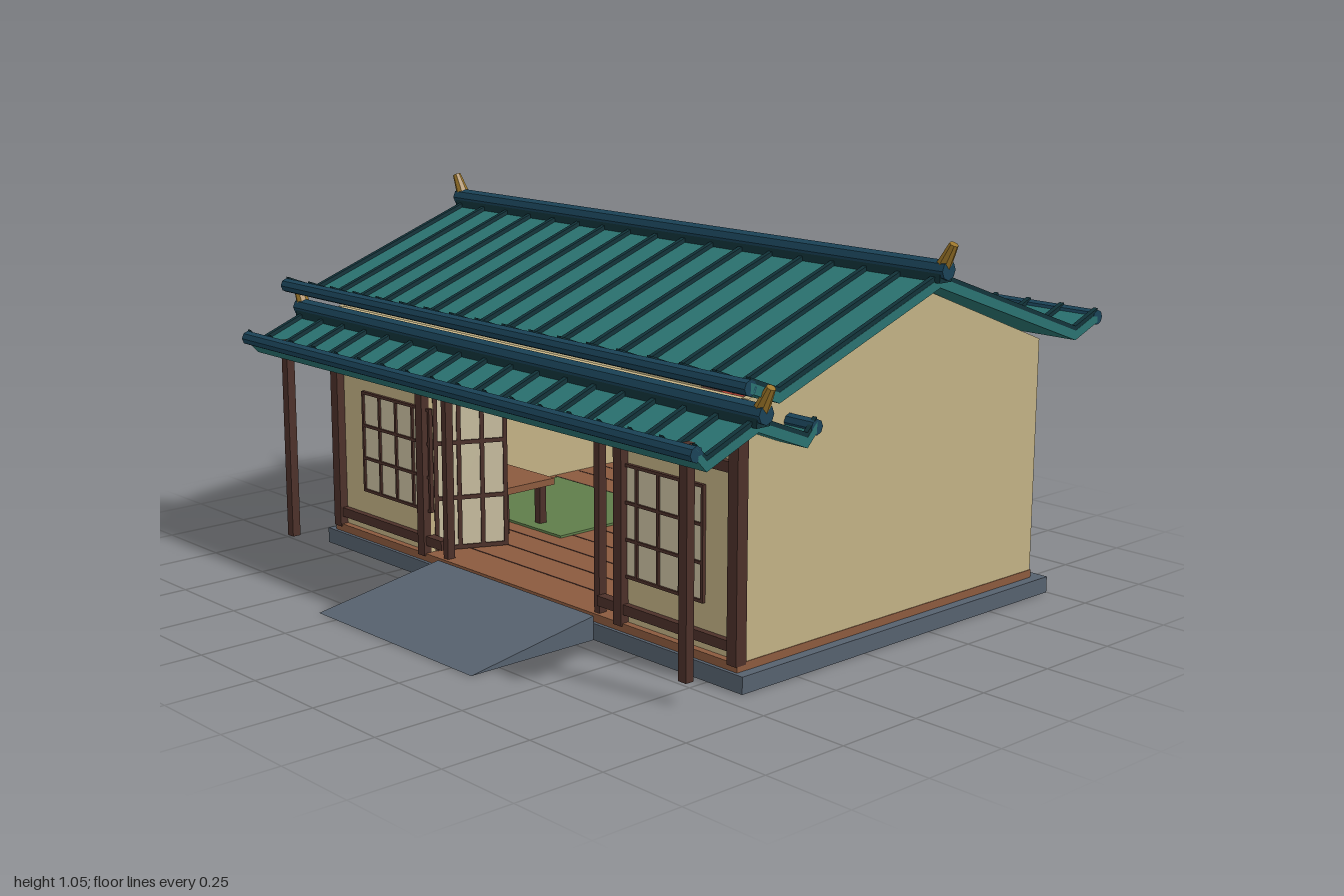
import * as THREE from 'three';

const mat = (color) => new THREE.MeshStandardMaterial({ color, flatShading: true });
const M = {
  wall: mat(0xc2b184), roof: mat(0x2a7270), rib: mat(0x12333a), ridge: mat(0x1a4358),
  wood: mat(0x4c3029), floor: mat(0x8b5a3e), stone: mat(0x56616e), gold: mat(0x9a7428),
  red: mat(0xa83c30), paper: mat(0xcbc1a2), rug: mat(0x5f7d4a),
};

export function createModel() {
  const root = new THREE.Group();

  const add = (name, geo, material, parent = root) => {
    const m = new THREE.Mesh(geo, material);
    m.name = name;
    parent.add(m);
    return m;
  };
  // Box given by its min and max on each axis
  const box = (name, [x0, x1], [y0, y1], [z0, z1], material, parent = root) => {
    const m = add(name, new THREE.BoxGeometry(x1 - x0, y1 - y0, z1 - z0), material, parent);
    m.position.set((x0 + x1) / 2, (y0 + y1) / 2, (z0 + z1) / 2);
    return m;
  };
  // Outline of [z, y] points swept along x, centred on cx
  const sweepX = (name, pts, width, cx, material, parent = root) => {
    const shape = new THREE.Shape(pts.map(([z, y]) => new THREE.Vector2(z, y)));
    const g = new THREE.ExtrudeGeometry(shape, { depth: width, bevelEnabled: false });
    g.rotateY(-Math.PI / 2).translate(cx + width / 2, 0, 0);
    return add(name, g, material, parent);
  };
  const rodX = (name, r, length, y, z, material, parent = root) => {
    const m = add(name, new THREE.CylinderGeometry(r, r, length, 8).rotateZ(Math.PI / 2), material, parent);
    m.position.set(0, y, z);
    return m;
  };

  // Base, ramp and floor
  box('baseSlab', [-0.87, 0.87], [0, 0.045], [-0.75, 0.44], M.stone);
  sweepX('ramp', [[0.84, 0], [0.44, 0.065], [0.44, 0]], 0.66, 0, M.stone);
  box('floor', [-0.842, 0.842], [0.045, 0.067], [-0.712, 0.43], M.floor);
  for (let z = -0.6; z < 0.4; z += 0.1)
    box('floorSeam', [-0.81, 0.81], [0.066, 0.068], [z, z + 0.005], M.wood);

  // Gable side walls and back wall
  const gable = [[0.4, 0.067], [0.4, 0.715], [-0.155, 0.932], [-0.71, 0.715], [-0.71, 0.067]];
  for (const s of [-1, 1]) sweepX('sideWall', gable, 0.02, s * 0.83, M.wall);
  box('backWall', [-0.82, 0.82], [0.067, 0.715], [-0.71, -0.69], M.wall);
  box('frontWallTop', [-0.82, 0.82], [0.61, 0.715], [0.39, 0.41], M.wall);

  // Each half of the front: wall, frame, window and open door
  for (const s of [-1, 1]) {
    const side = new THREE.Group();
    side.name = s > 0 ? 'leftFront' : 'rightFront';
    root.add(side);
    const part = (name, [a, b], y, z, m) =>
      box(name, s > 0 ? [a, b] : [-b, -a], y, z, m, side);

    part('frontWall', [0.4, 0.82], [0.067, 0.61], [0.39, 0.41], M.wall);
    part('cornerPost', [0.81, 0.843], [0.06, 0.7], [0.4, 0.435], M.wood);
    part('innerPost', [0.4, 0.43], [0.06, 0.7], [0.4, 0.435], M.wood);
    part('doorPost', [0.31, 0.33], [0.06, 0.62], [0.395, 0.42], M.wood);
    part('lowerRail', [0.33, 0.82], [0.09, 0.117], [0.4, 0.428], M.wood);
    part('upperRail', [0.33, 0.82], [0.535, 0.562], [0.4, 0.428], M.wood);
    part('porchPost', [0.815, 0.842], [0.06, 0.64], [0.575, 0.6], M.wood);

    part('windowPaper', [0.39, 0.71], [0.19, 0.48], [0.405, 0.414], M.paper);
    for (let i = 0; i <= 4; i++) {
      const x = 0.39 + i * 0.079;
      part('windowBar', [x - 0.004, x + 0.004], [0.186, 0.484], [0.408, 0.42], M.wood);
    }
    for (let i = 0; i <= 3; i++) {
      const y = 0.19 + i * 0.097;
      part('windowBar', [0.386, 0.71], [y - 0.004, y + 0.004], [0.408, 0.42], M.wood);
    }

    // Lattice door swung inwards
    const door = new THREE.Group();
    door.name = 'door';
    door.position.set(s * 0.4, 0, 0.39);
    door.rotation.y = s > 0 ? -Math.PI * 0.64 : -Math.PI * 0.36;
    door.rotation.y = s > 0 ? Math.PI * 0.64 : Math.PI * 0.36;
    side.add(door);
    box('doorPaper', [0, 0.2], [0.08, 0.53], [-0.003, 0.003], M.paper, door);
    for (let i = 0; i <= 3; i++) {
      const x = i * 0.0667;
      box('doorBar', [x - 0.006, x + 0.006], [0.07, 0.54], [-0.008, 0.008], M.wood, door);
    }
    for (const y of [0.075, 0.22, 0.38, 0.535])
      box('doorBar', [0, 0.2], [y - 0.006, y + 0.006], [-0.008, 0.008], M.wood, door);
  }

  // Hanging curtains over the entrance
  for (const i of [-1, 0, 1])
    box('curtain', [i * 0.185 - 0.08, i * 0.185 + 0.08], [0.54, 0.61], [0.462, 0.468], M.red);

  // Counter, shelves and wares at the back
  box('counter', [-0.31, 0.31], [0.067, 0.25], [-0.56, -0.44], M.floor);
  for (const [row, y] of [0.225, 0.38].entries()) {
    box('shelf', [-0.42, 0.42], [y - 0.005, y + 0.005], [-0.69, -0.6], M.wood);
    for (let i = 0; i < 6; i++) {
      const x = -0.24 + i * 0.096;
      box('ware', [x - 0.025, x + 0.025], [y - 0.015, y + (row ? 0.025 : 0.045)], [-0.66, -0.595],
        (i + row) % 2 ? M.red : M.paper);
    }
  }

  // Rugs, each with a low table
  for (const s of [-1, 1]) {
    const cx = s * 0.52;
    box('rug', [cx - 0.26, cx + 0.26], [0.067, 0.074], [-0.38, 0.05], M.rug);
    box('tableTop', [cx - 0.14, cx + 0.14], [0.19, 0.21], [-0.03, 0.17], M.floor);
    for (const x of [-0.11, 0.11])
      for (const z of [0, 0.14])
        box('tableLeg', [cx + x - 0.012, cx + x + 0.012], [0.067, 0.19], [z - 0.012, z + 0.012], M.wood);
  }

  // Ribbed roof with upturned eaves; half is [distance from ridge, underside height]
  const roof = (name, z0, half, halfWidth, ribSpan) => {
    const g = new THREE.Group();
    g.name = name;
    root.add(g);
    const line = [...half.slice(1).reverse().map(([d, y]) => [z0 + d, y]),
      ...half.map(([d, y]) => [z0 - d, y])];
    const band = (lo, hi) => [...line.map(([z, y]) => [z, y + lo]),
      ...line.map(([z, y]) => [z, y + hi]).reverse()];
    sweepX('tiles', band(0, 0.026), halfWidth * 2, 0, M.roof, g);
    for (let i = 0; i < 18; i++)
      sweepX('rib', band(0.024, 0.038), 0.014, ribSpan * (i / 8.5 - 1), M.rib, g);

    const [endD, endY] = half[half.length - 1];
    for (const s of [-1, 1])
      rodX('eaveRod', 0.02, halfWidth * 2, endY + 0.013, z0 + s * endD, M.ridge, g);

    const top = half[0][1];
    box('ridgeBase', [-halfWidth - 0.015, halfWidth + 0.015], [top + 0.015, top + 0.04],
      [z0 - 0.022, z0 + 0.022], M.rib, g);
    rodX('ridgeRod', 0.025, halfWidth * 2 + 0.05, top + 0.046, z0, M.ridge, g);
    // Gold horns leaning out at both ends
    for (const s of [-1, 1]) {
      const horn = add('horn', new THREE.CylinderGeometry(0.012, 0.021, 0.075, 8), M.gold, g);
      horn.position.set(s * (halfWidth + 0.02), top + 0.08, z0);
      horn.rotation.z = -s * 0.5;
    }
  };
  roof('mainRoof', -0.155, [[0, 0.93], [0.565, 0.725], [0.66, 0.762]], 0.95, 0.942);
  roof('porchRoof', 0.457, [[0, 0.66], [0.166, 0.595], [0.198, 0.628]], 0.93, 0.922);

  return root;
}
